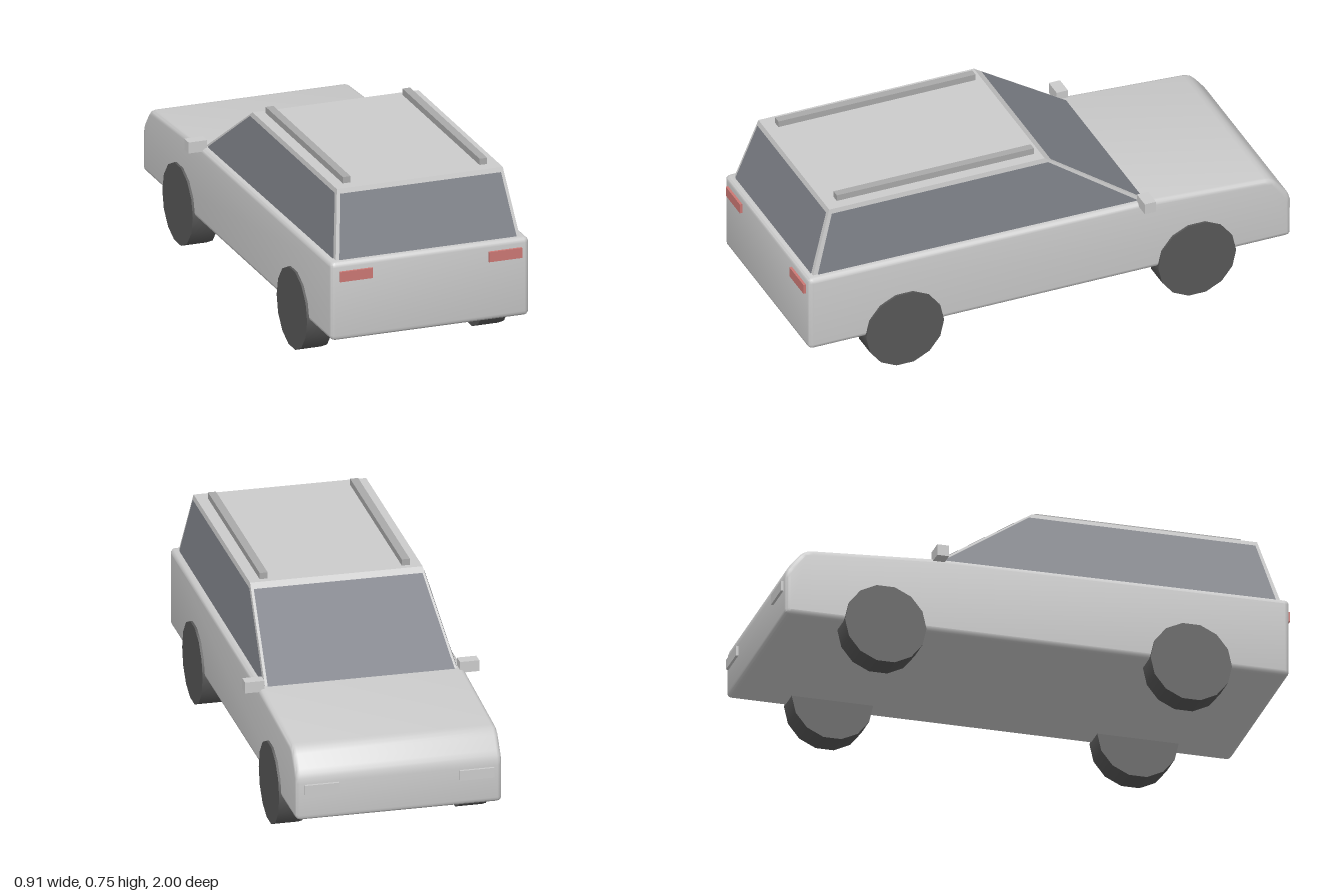
import * as THREE from 'three';
import { toCreasedNormals } from 'three/addons/utils/BufferGeometryUtils.js';
import { ConvexGeometry } from 'three/addons/geometries/ConvexGeometry.js';

const paint = (color, extra = {}) => new THREE.MeshStandardMaterial({ color, ...extra });

const grey = paint(0xcccccc);
const cabinGrey = paint(0xcccccc, { flatShading: true });
const glass = paint(0x7d8087, { side: THREE.DoubleSide });
const rubber = paint(0x585858);
const railGrey = paint(0xaaaaaa);
const red = paint(0xcc7874);

// Closed outline from [x, y, cornerRadius] points
function roundedShape(points) {
  const shape = new THREE.Shape();
  const n = points.length;
  points.forEach(([x, y, r], i) => {
    const p = new THREE.Vector2(x, y);
    const toward = ([a, b]) => new THREE.Vector2(a, b).sub(p).setLength(r).add(p);
    const a = toward(points[(i + n - 1) % n]);
    const b = toward(points[(i + 1) % n]);
    if (i === 0) shape.moveTo(a.x, a.y);
    else shape.lineTo(a.x, a.y);
    shape.quadraticCurveTo(x, y, b.x, b.y);
  });
  shape.closePath();
  return shape;
}

export function createModel() {
  const model = new THREE.Group();
  model.name = 'estateCar';
  const add = (name, geometry, material) => {
    const mesh = new THREE.Mesh(geometry, material);
    mesh.name = name;
    model.add(mesh);
    return mesh;
  };
  const box = (name, material, w, h, d, x, y, z) =>
    add(name, new THREE.BoxGeometry(w, h, d), material).position.set(x, y, z);

  // Lower body: side profile (z, y) extruded across the width
  const bevel = 0.018;
  const profile = roundedShape([
    [-0.99, 0.155, 0.02], [0.99, 0.155, 0.02], [0.99, 0.469, 0.02],
    [-0.39, 0.46, 0.02], [-0.915, 0.428, 0.03], [-0.99, 0.335, 0.03],
  ]);
  const body = new THREE.ExtrudeGeometry(profile, {
    depth: 0.8 - 2 * bevel, curveSegments: 3, bevelEnabled: true,
    bevelThickness: bevel, bevelSize: bevel, bevelOffset: -bevel, bevelSegments: 3,
  });
  body.translate(0, 0, -(0.4 - bevel)).rotateY(-Math.PI / 2);
  add('body', toCreasedNormals(body, 0.6), grey);

  // Cabin: tapered block whose base sinks into the body
  const corner = (x, y, z) => new THREE.Vector3(x, y, z);
  const base = { x: 0.374, y: 0.45, front: -0.405, rear: 0.968 };
  const roof = { x: 0.335, y: 0.722, front: -0.005, rear: 0.88 };
  const corners = [];
  for (const level of [base, roof])
    for (const s of [-1, 1])
      for (const z of [level.front, level.rear]) corners.push(corner(s * level.x, level.y, z));
  add('cabin', new ConvexGeometry(corners), cabinGrey);

  // Window pane inset in one cabin face: bottom a, b and top c (above b), d (above a)
  const window = (name, a, b, c, d, insetBottom, insetTop) => {
    const down = (top, bottom) => top.clone().lerp(bottom, 0.065);
    const inward = (p, q, amount) => p.clone().add(q.clone().sub(p).setLength(amount));
    const [ct, dt] = [down(c, b), down(d, a)];
    const quad = [
      inward(a, b, insetBottom), inward(b, a, insetBottom),
      inward(ct, dt, insetTop), inward(dt, ct, insetTop),
    ];
    const normal = b.clone().sub(a).cross(d.clone().sub(a)).setLength(0.003);
    const geometry = new THREE.BufferGeometry().setFromPoints(quad.map((p) => p.add(normal)));
    geometry.setIndex([0, 1, 2, 0, 2, 3]);
    geometry.computeVertexNormals();
    add(name, geometry, glass);
  };
  const at = (level, s, end) => corner(s * level.x, level.y, level[end]);
  const pane = (name, s1, e1, s2, e2, insetBottom, insetTop) => window(name,
    at(base, s1, e1), at(base, s2, e2), at(roof, s2, e2), at(roof, s1, e1), insetBottom, insetTop);
  pane('rearWindow', -1, 'rear', 1, 'rear', 0.013, 0.013);
  pane('windscreen', 1, 'front', -1, 'front', 0.01, 0.01);
  pane('leftWindow', 1, 'rear', 1, 'front', 0.018, 0.014);
  pane('rightWindow', -1, 'front', -1, 'rear', 0.018, 0.014);

  // Paired details and wheels
  for (const s of [-1, 1]) {
    const side = s > 0 ? 'left' : 'right';
    box(side + 'RoofRail', railGrey, 0.031, 0.03, 0.81, s * 0.276, 0.732, 0.425);
    box(side + 'Mirror', grey, 0.075, 0.044, 0.046, s * 0.417, 0.469, -0.388);
    box(side + 'TailLight', red, 0.133, 0.04, 0.02, s * 0.301, 0.413, 0.99);
    box(side + 'Headlight', grey, 0.133, 0.04, 0.02, s * 0.301, 0.28, -0.99);
    for (const z of [-0.6, 0.6]) {
      const tyre = new THREE.CylinderGeometry(0.16, 0.16, 0.104, 14).rotateZ(Math.PI / 2);
      const wheel = add(side + (z < 0 ? 'FrontWheel' : 'RearWheel'), tyre, rubber);
      wheel.position.set(s * 0.357, 0.156, z);
    }
  }
  return model;
}
